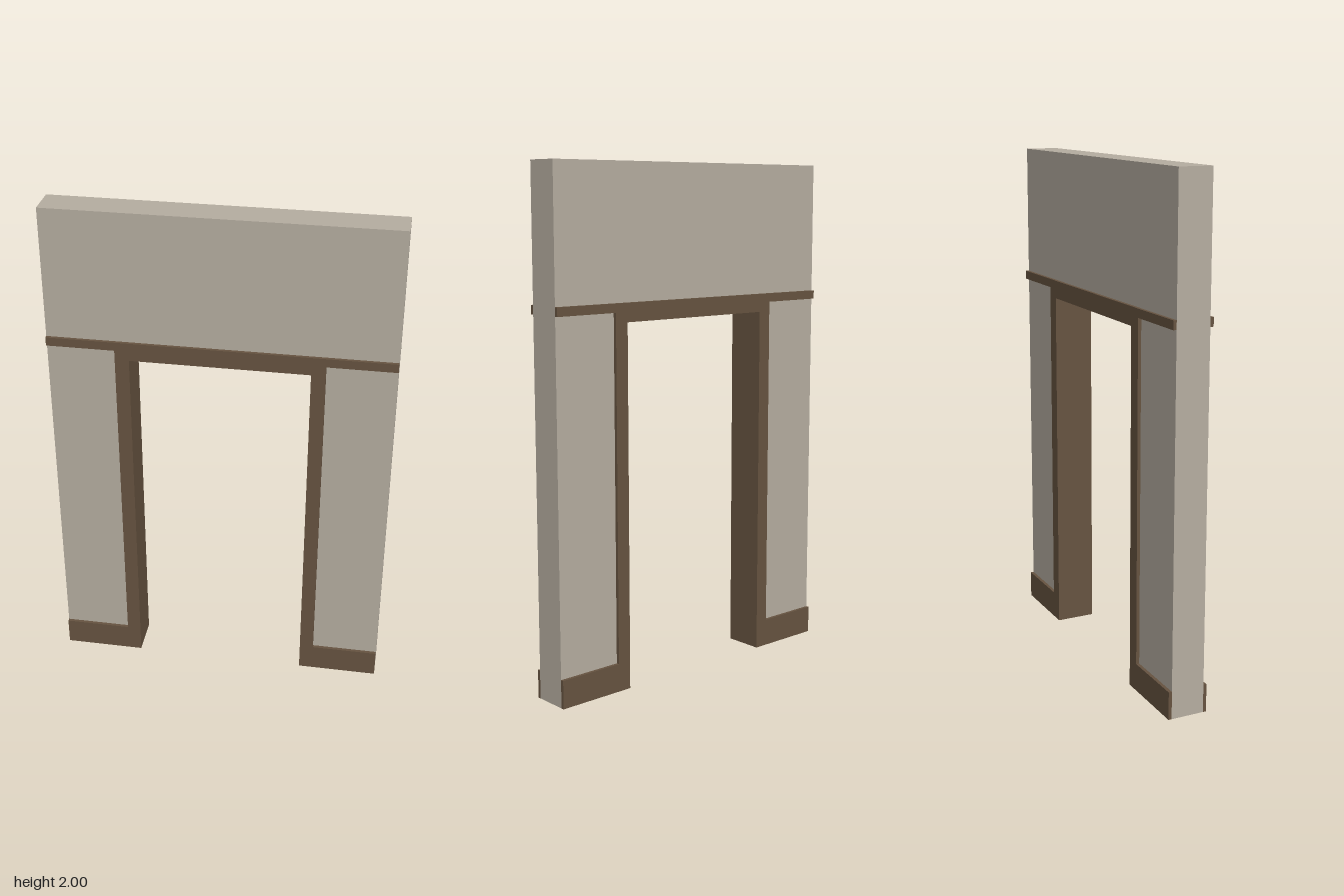
import * as THREE from 'three';

const W = 0.665, WALL_Z = 0.066, TRIM_Z = 0.079; // half width, half depths
const OPEN_X = 0.345, OPEN_Y = 1.415; // clear opening
const LINING = 0.015;

// Extrude a closed outline between two z positions
function slab(name, points, z0, z1, material) {
  const shape = new THREE.Shape(points.map(([x, y]) => new THREE.Vector2(x, y)));
  const geometry = new THREE.ExtrudeGeometry(shape, { depth: z1 - z0, bevelEnabled: false });
  geometry.translate(0, 0, z0);
  const mesh = new THREE.Mesh(geometry, material);
  mesh.name = name;
  return mesh;
}

// Complete a right-hand outline with its mirror image
const mirrored = (half) => [...half, ...half.map(([x, y]) => [-x, y]).reverse()];

export function createModel() {
  const plaster = new THREE.MeshStandardMaterial({ color: 0xb5ada0 });
  const wood = new THREE.MeshStandardMaterial({ color: 0x665340 });
  const group = new THREE.Group();
  group.name = 'doorwayWall';

  // Wall with the doorway cut out
  const ix = OPEN_X + LINING, iy = OPEN_Y + LINING;
  group.add(slab('wall', mirrored([[ix, iy], [ix, 0], [W, 0], [W, 2]]), -WALL_Z, WALL_Z, plaster));

  // Lining through the depth of the opening
  group.add(slab('doorLining', mirrored([[OPEN_X, OPEN_Y], [OPEN_X, 0], [ix, 0], [ix, iy]]),
    -WALL_Z, WALL_Z, wood));

  // Baseboard, door casing and rail as one raised trim on each face
  const trim = mirrored([
    [OPEN_X, OPEN_Y], [OPEN_X, 0], [W, 0], [W, 0.11], [0.4, 0.11],
    [0.4, 1.453], [W, 1.453], [W, 1.487],
  ]);
  group.add(slab('frontTrim', trim, WALL_Z, TRIM_Z, wood));
  group.add(slab('backTrim', trim, -TRIM_Z, -WALL_Z, wood));

  return group;
}
